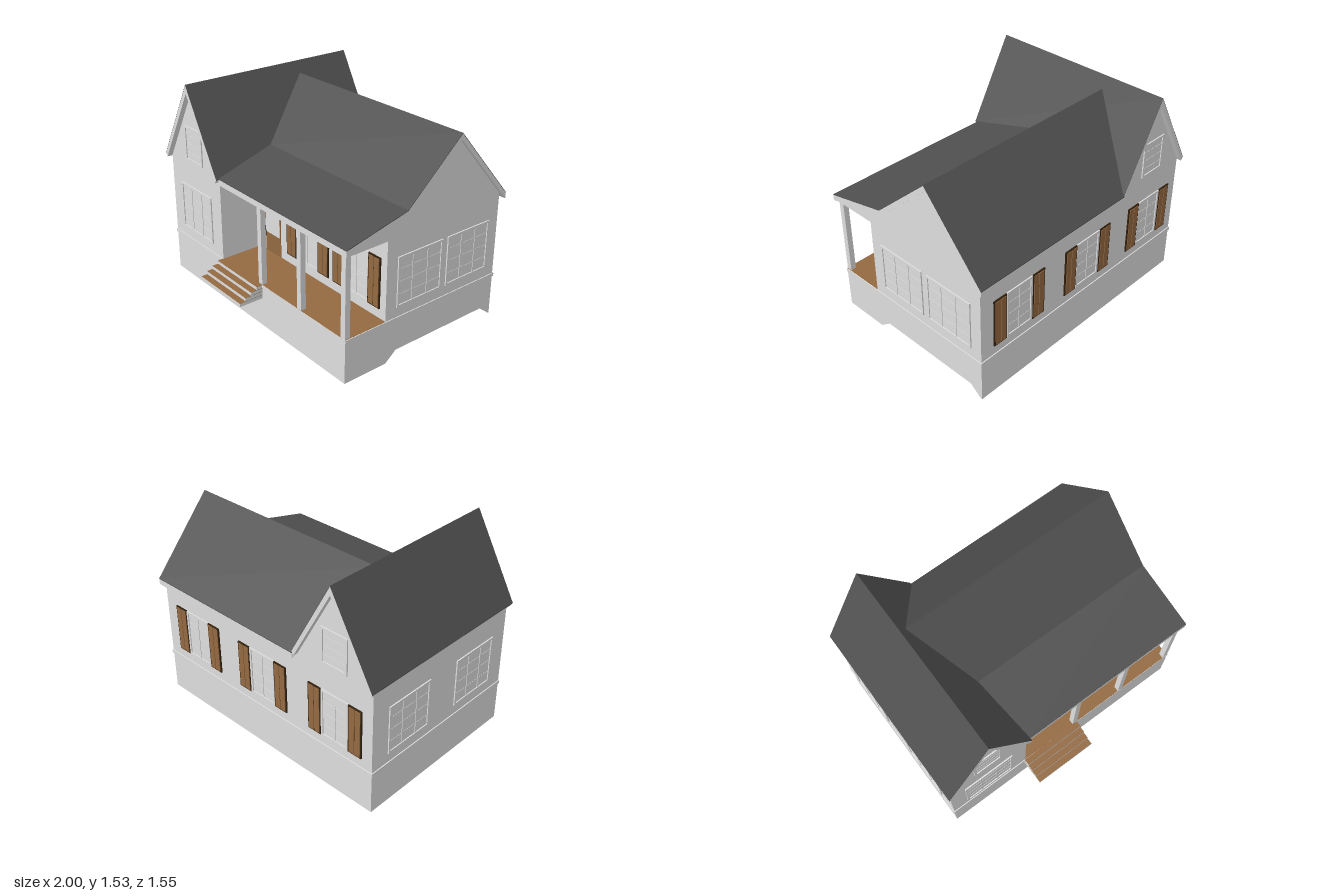
import * as THREE from 'three';

export function createModel() {
  const house = new THREE.Group();
  house.name = 'house';
  const mat = (name, color, side = THREE.FrontSide) => {
    const m = new THREE.MeshStandardMaterial({ color, side });
    m.name = name;
    return m;
  };
  const white = mat('white paint', 0xdedede);
  const dark = mat('roof shingles', 0x505050);
  const wood = mat('brown wood', 0x946a42);
  const edge = mat('dark brown trim', 0x33220f);
  const black = mat('black metal', 0x151515);

  const add = (name, geo, m, parent = house) => {
    const mesh = new THREE.Mesh(geo, m);
    mesh.name = name;
    parent.add(mesh);
    return mesh;
  };
  // Box given by its limits on each axis
  const box = (name, m, x0, x1, y0, y1, z0, z1, parent = house) => {
    const g = new THREE.BoxGeometry(x1 - x0, y1 - y0, z1 - z0);
    g.translate((x0 + x1) / 2, (y0 + y1) / 2, (z0 + z1) / 2);
    return add(name, g, m, parent);
  };
  const shapeOf = pts => new THREE.Shape(pts.map(p => new THREE.Vector2(p[0], p[1])));
  // Extrude an (x, y) outline along z, or a (z, y) outline along x
  const alongZ = (pts, z0, z1) =>
    new THREE.ExtrudeGeometry(shapeOf(pts), { depth: z1 - z0, bevelEnabled: false }).translate(0, 0, z0);
  const alongX = (pts, x0, x1) =>
    new THREE.ExtrudeGeometry(shapeOf(pts.map(([z, y]) => [-z, y])), { depth: x1 - x0, bevelEnabled: false })
      .rotateY(Math.PI / 2).translate(x0, 0, 0);
  // Closed strip between a line and itself, shifted vertically
  const band = (pts, lo, hi) => [
    ...pts.map(([a, y]) => [a, y + hi]),
    ...pts.map(([a, y]) => [a, y + lo]).reverse(),
  ];

  // Foundation: thin open-bottomed walls, the right one notched
  box('foundationFront', white, -0.98, 0.975, 0, 0.315, 0.58, 0.59);
  box('foundationBack', white, -0.98, 0.975, 0, 0.32, -0.74, -0.73);
  box('foundationLeft', white, -0.98, -0.97, 0, 0.32, -0.73, 0.58);
  add('foundationRight', alongX([
    [0.58, 0], [0.25, 0], [0.16, 0.07], [-0.64, 0.07], [-0.73, 0], [-0.73, 0.315], [0.58, 0.315],
  ], 0.965, 0.975), white);
  box('floor', white, -0.97, 0.965, 0.25, 0.3, -0.73, 0.58);
  add('foundationCorner', new THREE.ExtrudeGeometry(
    shapeOf([[0.965, 0.25], [0.965, 0.58], [-0.36, 0.58]]), { depth: 0.003, bevelEnabled: false })
    .rotateX(Math.PI / 2).translate(0, 0.003, 0), white);
  add('foundationBrace', alongX([[0.58, 0], [0.58, 0.25], [0.26, 0.25], [0.26, 0.21]], -0.365, -0.36), white);

  // Water table trim
  box('trimBack', white, -0.985, 0.98, 0.295, 0.32, -0.747, -0.74);
  box('trimLeft', white, -0.987, -0.98, 0.295, 0.32, -0.747, 0.595);
  box('trimRight', white, 0.975, 0.981, 0.295, 0.318, -0.747, 0.59);
  box('trimWingFront', white, -0.985, -0.36, 0.295, 0.32, 0.59, 0.596);

  // Wing and main walls
  add('wingWalls', alongZ([
    [-0.98, 0.3], [-0.355, 0.3], [-0.355, 0.94], [-0.6675, 1.49], [-0.98, 0.94],
  ], -0.74, 0.59), white);
  add('mainWalls', alongX([
    [-0.74, 0.3], [0.26, 0.3], [0.26, 0.905], [0.59, 0.905], [0.59, 0.917],
    [0.125, 1.03], [-0.315, 1.42], [-0.74, 0.935],
  ], -0.36, 0.975), white);

  // Wing roof
  const ridgeX = -0.6675, ridgeY = 1.53, pitch = 0.59 / 0.3325;
  const wingLine = [[-1, 0.94], [ridgeX, ridgeY], [-0.335, 0.94]];
  const wingBand = [[-1, 0.94], [ridgeX, ridgeY], [-0.335, 0.94],
    [-0.352, 0.915], [ridgeX, 1.47], [-0.983, 0.915]];
  add('wingRoofTrim', alongZ(wingBand, -0.775, 0.63), white);
  add('wingRoofShingles', alongZ(band(wingLine, 0, 0.005), -0.775, 0.63), dark);

  // Main roof, cut to meet the slope of the wing roof
  const mainLine = [[0.61, 0.943], [0.125, 1.055], [-0.315, 1.447], [-0.775, 0.923]];
  const cutToWing = g => {
    const p = g.attributes.position;
    for (let i = 0; i < p.count; i++) {
      if (p.getX(i) < 0) p.setX(i, Math.min(-0.335, ridgeX + (ridgeY - p.getY(i)) / pitch));
    }
    g.computeVertexNormals();
    return g;
  };
  add('mainRoofTrim', cutToWing(alongX(band(mainLine, -0.042, 0), -0.6, 1)), white);
  add('mainRoofShingles', cutToWing(alongX(band(mainLine, 0, 0.005), -0.6, 1)), dark);

  // Porch deck, beams and posts
  box('porchDeck', wood, -0.36, 0.975, 0.312, 0.32, 0.26, 0.59);
  box('porchDeckEdge', white, -0.36, 0.976, 0.3, 0.319, 0.585, 0.592);
  box('porchBeam', white, -0.36, 0.975, 0.885, 0.915, 0.55, 0.59);
  box('porchSideBeam', white, 0.935, 0.975, 0.885, 0.915, 0.26, 0.55);
  for (const x of [0.098, 0.52, 0.952]) box('porchPost', white, x - 0.02, x + 0.02, 0.32, 0.89, 0.55, 0.59);

  // Porch steps with wooden treads
  for (let i = 0; i < 4; i++) {
    const y = 0.215 + i * 0.026, front = 0.773 - i * 0.046;
    box('step', white, -0.36, 0.115, y, y + 0.024, 0.26, front);
    box('stepTread', wood, -0.36, 0.115, y + 0.024, y + 0.026, 0.59, front);
  }

  // Window in its own group, built facing +z
  const makeWindow = (name, w, h, x, y, z, turn, cols, rows) => {
    const g = new THREE.Group();
    g.name = name;
    const a = w / 2, b = h / 2, f = 0.016;
    box('pane', white, -a, a, -b, b, -0.002, 0.002, g);
    for (const s of [-1, 1]) {
      box('frameSide', white, s * (a - f / 2) - f / 2, s * (a - f / 2) + f / 2, -b, b, 0, 0.009, g);
      box('frameRail', white, -a + f, a - f, s * (b - f / 2) - f / 2, s * (b - f / 2) + f / 2, 0, 0.009, g);
    }
    for (let i = 1; i < cols; i++) {
      const u = -a + (w * i) / cols;
      box('mullion', white, u - 0.005, u + 0.005, -b + f, b - f, 0, 0.006, g);
    }
    for (let i = 1; i < rows; i++) {
      const v = -b + (h * i) / rows;
      box('glazingBar', white, -a + f, a - f, v - 0.002, v + 0.002, 0, 0.004, g);
    }
    g.position.set(x, y, z);
    g.rotation.y = turn;
    house.add(g);
    return g;
  };
  // Shuttered window: two shutters with dark borders
  const makeShuttered = (name, x, z, turn) => {
    const g = makeWindow(name, 0.23, 0.36, x, 0.57, z, turn, 2, 4);
    for (const s of [-1, 1]) {
      const c = s * 0.172;
      box('shutterEdge', edge, c - 0.055, c + 0.055, -0.18, 0.18, 0, 0.009, g);
      for (const t of [-1, 1]) {
        const m = c + t * 0.024;
        box('shutterPanel', wood, m - 0.0215, m + 0.0215, -0.171, 0.171, 0.002, 0.013, g);
      }
    }
  };
  for (const x of [0.195, 0.695]) makeShuttered('porchWindow', x, 0.26, 0);
  for (const x of [0.64, -0.015, -0.67]) makeShuttered('backWindow', x, -0.74, Math.PI);
  for (const z of [-0.025, -0.46]) makeWindow('rightWindow', 0.39, 0.36, 0.975, 0.57, z, Math.PI / 2, 3, 4);
  for (const z of [-0.4, 0.26]) makeWindow('leftWindow', 0.39, 0.36, -0.98, 0.57, z, -Math.PI / 2, 3, 4);
  makeWindow('wingFrontWindow', 0.39, 0.36, ridgeX, 0.57, 0.59, 0, 3, 4);
  makeWindow('wingUpperWindow', 0.215, 0.26, ridgeX, 1.08, 0.59, 0, 1, 4);
  makeWindow('backUpperWindow', 0.215, 0.26, ridgeX, 1.08, -0.74, Math.PI, 1, 4);

  // Front door with a large pane and a handle
  box('door', wood, -0.285, -0.11, 0.32, 0.725, 0.255, 0.264);
  box('doorPane', white, -0.277, -0.118, 0.47, 0.719, 0.26, 0.268);
  box('doorHandle', black, -0.286, -0.279, 0.435, 0.51, 0.264, 0.275);

  return house;
}
